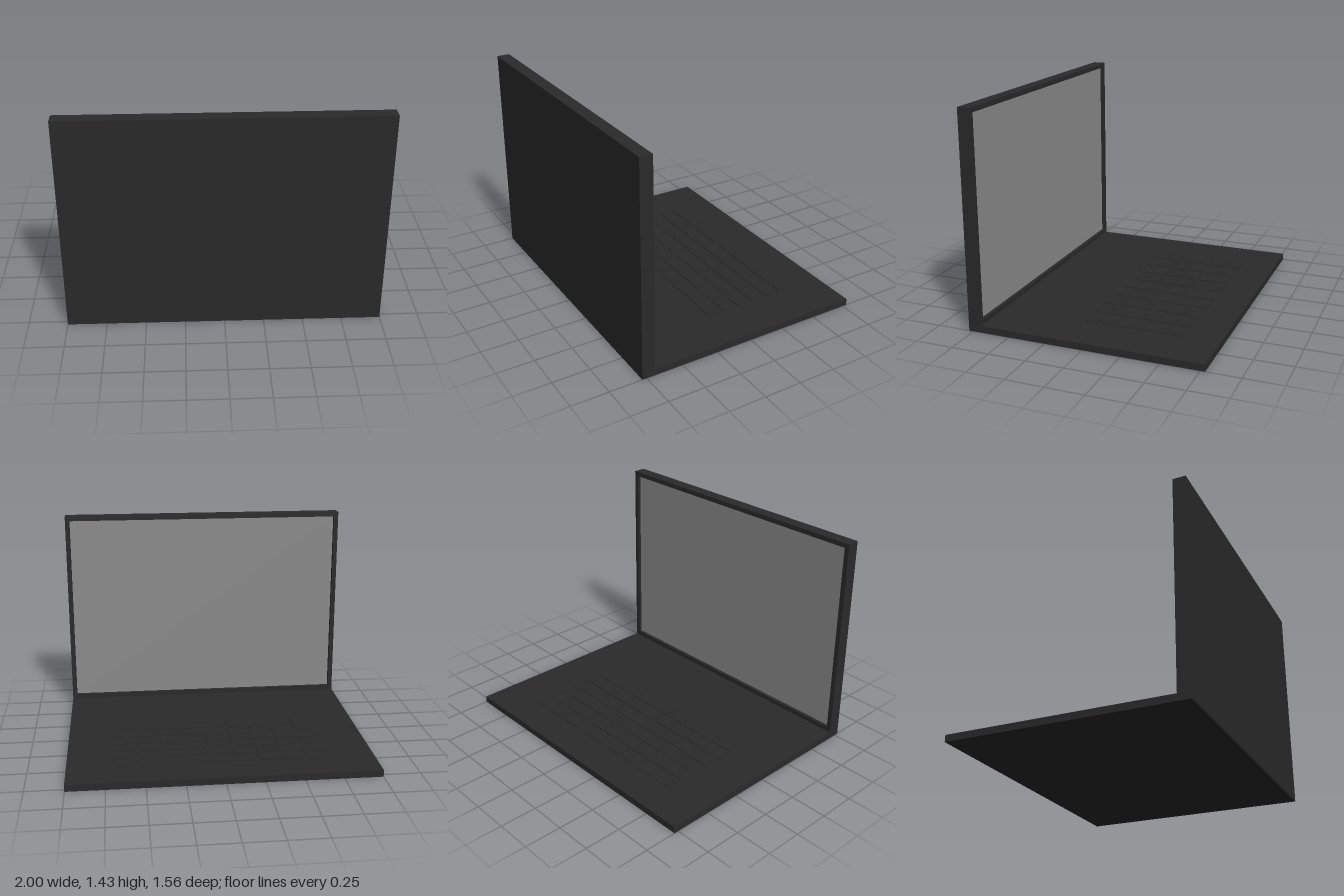
import * as THREE from 'three';

const dark = new THREE.MeshStandardMaterial({ color: 0x2a2a2a });
const screenGrey = new THREE.MeshStandardMaterial({ color: 0x8c8c8c });

// Box given by its minimum and maximum corners
function box(name, [x0, y0, z0], [x1, y1, z1], material = dark) {
  const mesh = new THREE.Mesh(new THREE.BoxGeometry(x1 - x0, y1 - y0, z1 - z0), material);
  mesh.position.set((x0 + x1) / 2, (y0 + y1) / 2, (z0 + z1) / 2);
  mesh.name = name;
  return mesh;
}

// Rectangle as a list of corners
function rectangle(x, y0, y1) {
  return [[-x, y0], [x, y0], [x, y1], [-x, y1]].map(([a, b]) => new THREE.Vector2(a, b));
}

export function createModel() {
  const model = new THREE.Group();
  model.name = 'laptop';

  const deck = 0.045, top = 1.435, back = 0.78, face = 0.695;
  const border = 0.032, recess = 0.025;

  // Flat base with the keyboard deck
  model.add(box('base', [-1, 0, -back], [1, deck, back]));

  // Upright lid: back panel, raised bezel and sunken screen
  const lid = new THREE.Group();
  lid.name = 'lid';
  lid.add(box('lidPanel', [-1, deck, face + recess], [1, top, back]));

  const frame = new THREE.Shape(rectangle(1, deck, top));
  frame.holes.push(new THREE.Path(rectangle(1 - border, deck + border, top - border)));
  const bezel = new THREE.Mesh(
    new THREE.ExtrudeGeometry(frame, { depth: recess, bevelEnabled: false }), dark);
  bezel.position.z = face;
  bezel.name = 'bezel';
  lid.add(bezel);

  lid.add(box('screen',
    [-1 + border, deck + border, face + recess - 0.003],
    [1 - border, top - border, face + recess + 0.01], screenGrey));
  model.add(lid);

  // Keyboard: six rows of nine low keys
  const keyboard = new THREE.Group();
  keyboard.name = 'keyboard';
  const keyGeometry = new THREE.BoxGeometry(0.137, 0.01, 0.097);
  for (let row = 0; row < 6; row++) {
    for (let column = 0; column < 9; column++) {
      const key = new THREE.Mesh(keyGeometry, dark);
      key.name = 'key';
      key.position.set((column - 4) * 0.156, deck, 0.069 - row * 0.1137);
      keyboard.add(key);
    }
  }
  model.add(keyboard);

  return model;
}
